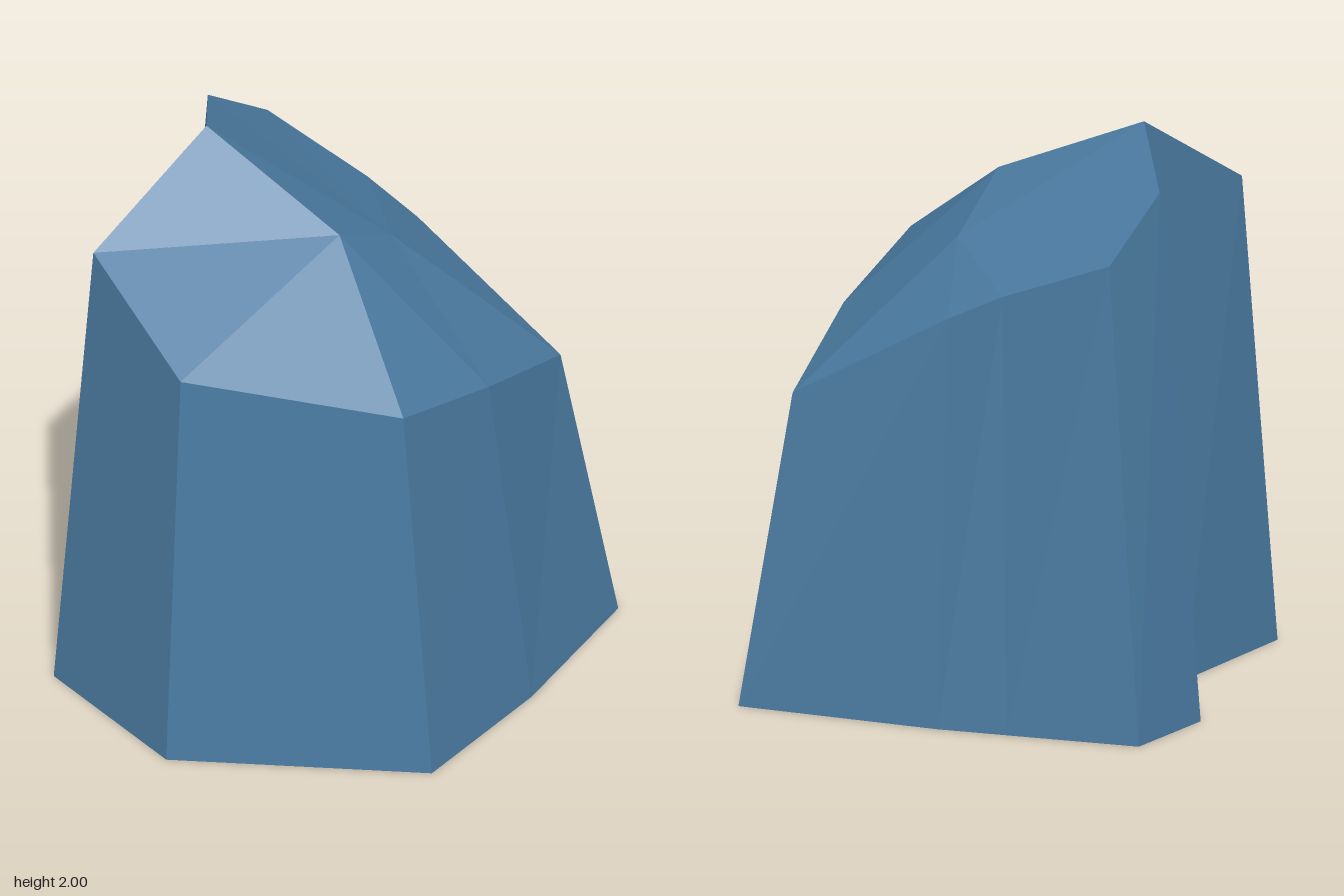
import * as THREE from 'three';

// Faceted boulder: ground outline [x, z] and matching crest point [x, y, z], counter-clockwise from above
const ring = [
  { foot: [-0.84, 0.06], crest: [-0.71, 1.46, 0.01] },
  { foot: [-0.31, 0.785], crest: [-0.29, 1.38, 0.64] },
  { foot: [0.25, 0.74], crest: [0.18, 1.25, 0.61] },
  { foot: [0.835, 0.615], crest: [0.66, 1.085, 0.51] },
  { foot: [0.68, -0.08], crest: [0.58, 1.43, -0.06] },
  { foot: [0.608, -0.31], crest: [0.54, 1.53, -0.25] },
  { foot: [0.47, -0.75], crest: [0.45, 1.68, -0.62] },
  { foot: [0.135, -0.785], crest: [0.18, 1.87, -0.65] },
  { foot: [-0.2, -0.51], crest: [-0.1, 2, -0.41] },
  { foot: [-0.72, -0.55], crest: [-0.575, 1.685, -0.5] },
];
const ridge = [-0.03, 1.76, 0.125];
const shoulder = [0.26, 1.6, 0.105];

function facetMesh(name, triangles, material) {
  const geometry = new THREE.BufferGeometry();
  geometry.setAttribute('position', new THREE.Float32BufferAttribute(triangles.flat(2), 3));
  geometry.computeVertexNormals();
  const mesh = new THREE.Mesh(geometry, material);
  mesh.name = name;
  return mesh;
}

export function createModel() {
  const group = new THREE.Group();
  group.name = 'boulder';
  const stone = new THREE.MeshStandardMaterial({ color: 0x4a7aa0, flatShading: true });
  stone.name = 'blue stone';

  const foot = ring.map(({ foot: [x, z] }) => [x, 0, z]);
  const crest = ring.map((p) => p.crest);
  const n = ring.length;

  // Tapering side walls
  const walls = [];
  for (let i = 0; i < n; i++) {
    const j = (i + 1) % n;
    walls.push([foot[i], foot[j], crest[j]], [foot[i], crest[j], crest[i]]);
  }
  group.add(facetMesh('sideWalls', walls, stone));

  // Each sloping top facet is a fan from one of the two inner points
  const fan = (hub, points) => points.slice(1).map((p, i) => [hub, points[i], p]);
  const at = (...ids) => ids.map((i) => crest[i]);
  group.add(facetMesh('leftSlope', fan(ridge, at(8, 9, 0, 1)), stone));
  group.add(facetMesh('frontSlope', [
    ...fan(ridge, [...at(1, 2), shoulder]),
    ...fan(shoulder, at(2, 3, 4)),
  ], stone));
  group.add(facetMesh('backSlope', fan(shoulder, [...at(4, 5, 6, 7, 8), ridge]), stone));

  // Flat underside
  const outline = ring.map((p) => new THREE.Vector2(p.foot[0], -p.foot[1]));
  const underside = THREE.ShapeUtils.triangulateShape(outline, [])
    .map(([a, b, c]) => [foot[a], foot[c], foot[b]]);
  group.add(facetMesh('underside', underside, stone));

  return group;
}
